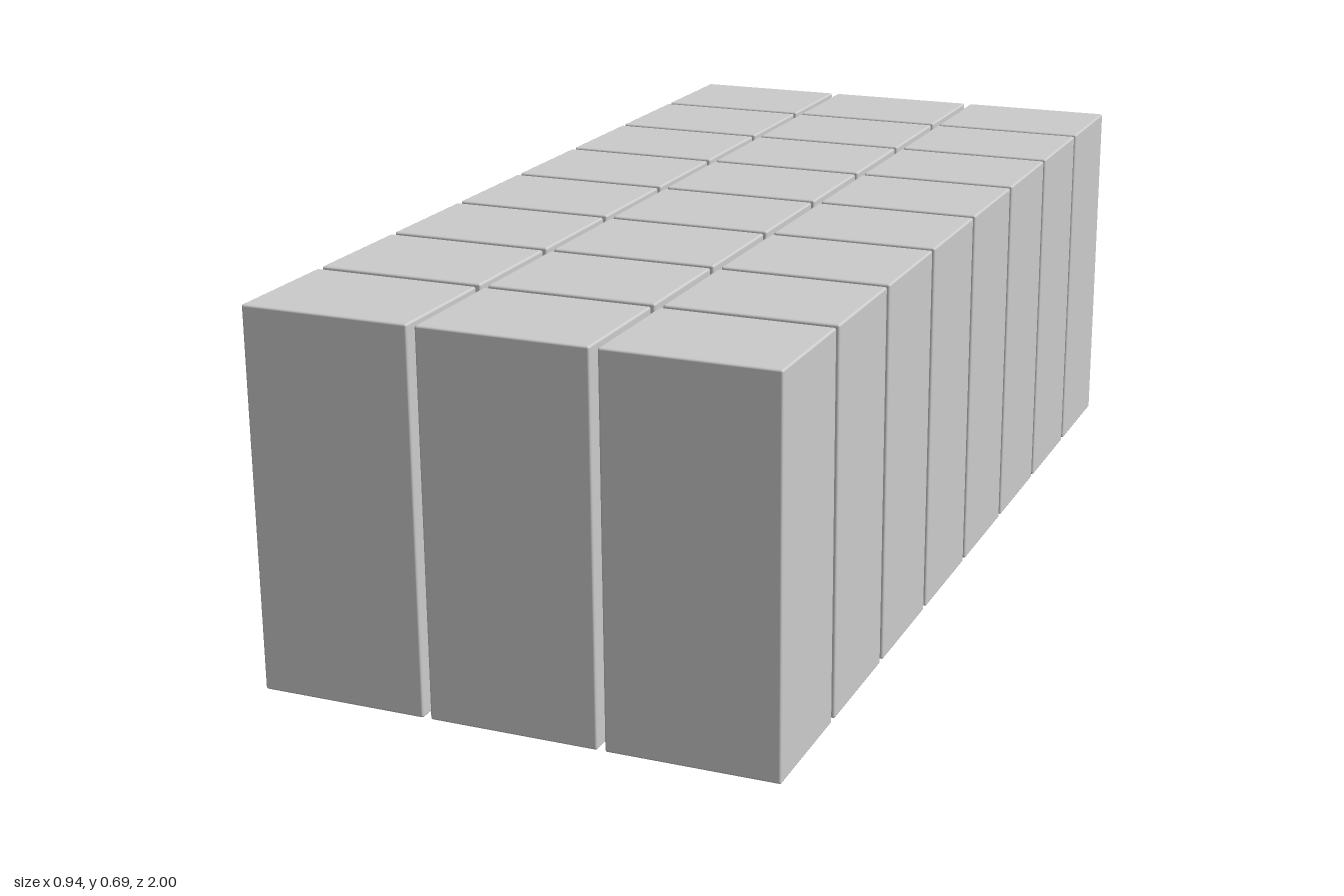
import * as THREE from 'three';
import { RoundedBoxGeometry } from 'three/addons/geometries/RoundedBoxGeometry.js';

const COLUMNS = 3, ROWS = 8;
const WIDTH = 0.305, HEIGHT = 0.685, DEPTH = 0.237;
const PITCH_X = 0.3185, PITCH_Z = (2 - DEPTH) / (ROWS - 1);

export function createModel() {
  const group = new THREE.Group();
  group.name = 'blockStack';
  const material = new THREE.MeshStandardMaterial({ color: 0xcccccc });

  // One upright block with finely softened edges, shared by the whole grid
  const geometry = new RoundedBoxGeometry(WIDTH, HEIGHT, DEPTH, 2, 0.004);

  // Rows of blocks separated by narrow gaps
  for (let row = 0; row < ROWS; row++) {
    for (let col = 0; col < COLUMNS; col++) {
      const block = new THREE.Mesh(geometry, material);
      block.name = `block row ${row + 1} column ${col + 1}`;
      block.position.set(
        (col - (COLUMNS - 1) / 2) * PITCH_X,
        HEIGHT / 2,
        (row - (ROWS - 1) / 2) * PITCH_Z
      );
      group.add(block);
    }
  }
  return group;
}
